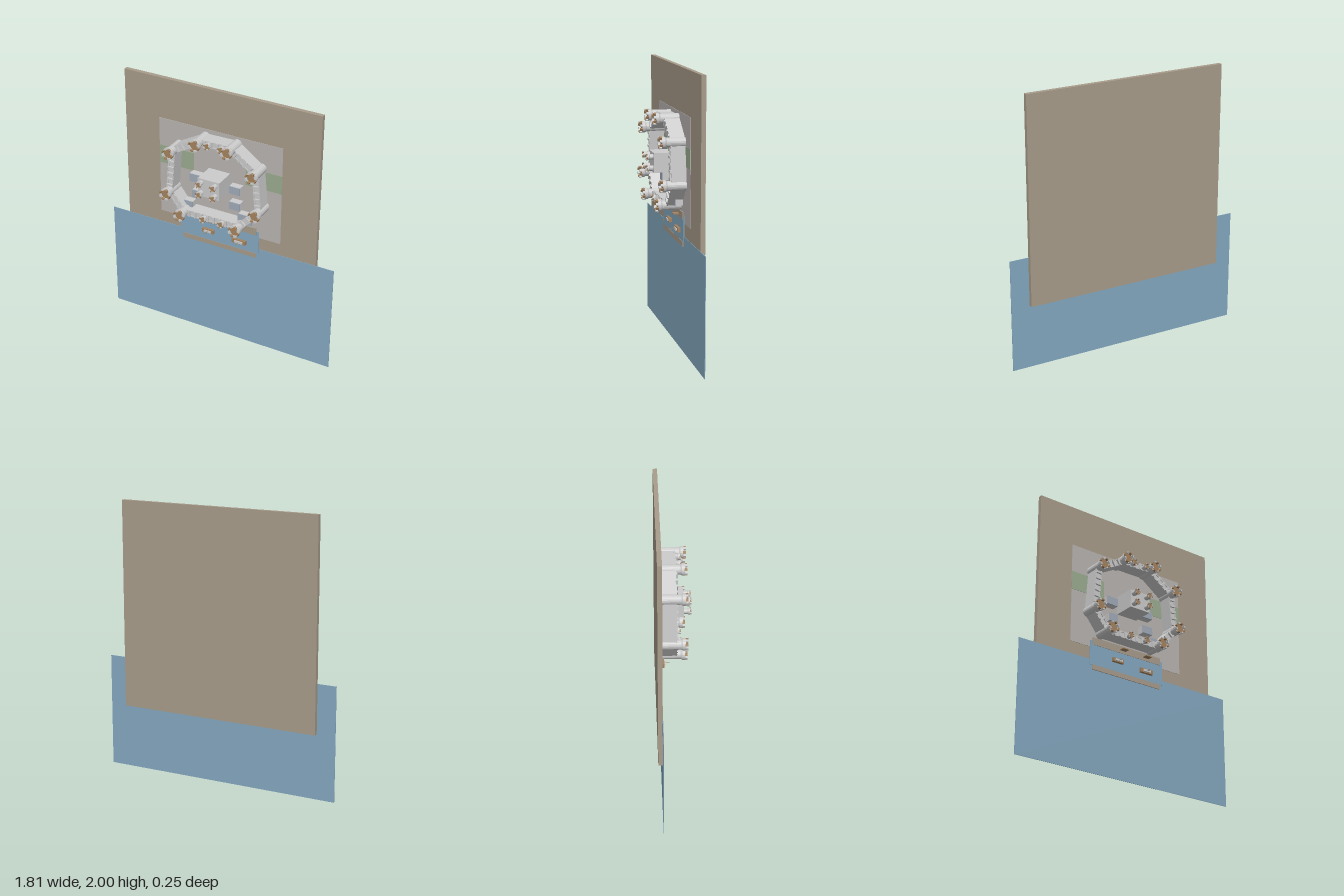
import * as THREE from 'three';

const mat = (color, extra = {}) => new THREE.MeshStandardMaterial({ color, ...extra });
const stone = mat(0xcccccc);
const earth = mat(0xa89c8b);
const water = mat(0x84a8c0);
const paving = mat(0xb8b4b1);
const grass = mat(0x9bab90);
const slate = mat(0xa0abb8);
const wood = mat(0xa5835f);
const GROUND = -0.095;

// Box given by its extents on each axis
function block(name, m, x0, x1, y0, y1, z0, z1) {
  const mesh = new THREE.Mesh(new THREE.BoxGeometry(x1 - x0, y1 - y0, z1 - z0), m);
  mesh.position.set((x0 + x1) / 2, (y0 + y1) / 2, (z0 + z1) / 2);
  mesh.name = name;
  return mesh;
}

// Round tower rising along +z: shaft, flared crown, wooden floor and merlons
function tower(name, x, y, r, base, top) {
  const g = new THREE.Group();
  g.name = name;
  g.position.set(x, y, 0);
  const crown = r * 1.22;
  const h = r * 1.1;
  const floor = top - h * 0.5;
  const profile = [
    [r, base], [r, top - h * 1.25], [crown, top - h * 0.95],
    [crown, floor + h * 0.1], [crown * 0.78, floor + h * 0.1], [crown * 0.78, floor - h * 0.1],
  ].map(([a, b]) => new THREE.Vector2(a, b));
  const shaft = new THREE.Mesh(new THREE.LatheGeometry(profile, 20).rotateX(Math.PI / 2),
    mat(0xcccccc, { flatShading: true }));
  shaft.name = 'towerShaft';
  const deck = new THREE.Mesh(new THREE.CircleGeometry(crown * 0.8, 20), wood);
  deck.position.z = floor;
  deck.name = 'towerDeck';
  g.add(shaft, deck);
  for (let i = 0; i < 8; i++) {
    const a = (i / 8) * Math.PI * 2 + Math.PI / 8;
    const merlon = new THREE.Mesh(new THREE.BoxGeometry(crown * 0.24, crown * 0.42, h * 0.5), i % 2 ? wood : stone);
    merlon.position.set(Math.cos(a) * crown * 0.88, Math.sin(a) * crown * 0.88, top - h * 0.25);
    merlon.rotation.z = a;
    merlon.name = 'towerMerlon';
    g.add(merlon);
  }
  return g;
}

// Curtain wall between two points with cross-bars along the walk
function wall(a, b) {
  const g = new THREE.Group();
  g.name = 'curtainWall';
  const dx = b[0] - a[0], dy = b[1] - a[1];
  const len = Math.hypot(dx, dy);
  g.position.set((a[0] + b[0]) / 2, (a[1] + b[1]) / 2, 0);
  g.rotation.z = Math.atan2(dy, dx);
  g.add(block('wallBody', stone, -len / 2, len / 2, -0.023, 0.023, GROUND, 0.008));
  for (const s of [-1, 1]) {
    const y = s * 0.021;
    g.add(block('wallParapet', stone, -len / 2, len / 2, y - 0.004, y + 0.004, 0.005, 0.014));
  }
  const n = Math.max(3, Math.round(len / 0.05));
  for (let i = 1; i < n; i++) {
    const x = -len / 2 + (len * i) / n;
    g.add(block('wallMerlon', stone, x - 0.008, x + 0.008, -0.024, 0.024, 0.008, 0.022));
  }
  return g;
}

// Small moored boat with deck house and mast
function boat(x, y, w, d) {
  const g = new THREE.Group();
  g.name = 'boat';
  g.position.set(x, y, 0);
  g.add(block('boatHull', wood, -w / 2, w / 2, -d / 2, d / 2, -0.088, -0.068));
  g.add(block('boatCabin', stone, -w * 0.3, w * 0.3, -d * 0.27, d * 0.27, -0.07, -0.06));
  const mast = new THREE.Mesh(new THREE.CylinderGeometry(0.002, 0.002, 0.05, 8).rotateX(Math.PI / 2), wood);
  mast.position.z = -0.054;
  mast.name = 'boatMast';
  g.add(mast);
  return g;
}

export function createModel() {
  const model = new THREE.Group();
  model.name = 'castleSite';

  // Land, water and courtyard layers
  model.add(block('land', earth, -0.765, 0.765, 0.475, 2, -0.127, GROUND));
  model.add(block('sea', water, -0.905, 0.905, 0, 0.835, GROUND - 0.001, GROUND + 0.003));
  model.add(block('courtyard', paving, -0.487, 0.487, 0.93, 1.69, GROUND, GROUND + 0.003));
  for (const s of [-1, 1]) {
    const x = s * 0.347;
    model.add(block('lawn', grass, x - 0.14, x + 0.14, 1.335, 1.475, GROUND, GROUND + 0.005));
  }

  // Harbour basin, quays, gates and boats
  model.add(block('harbourWater', water, -0.32, 0.32, 0.795, 0.98, GROUND, -0.088));
  model.add(block('outerQuay', earth, -0.3, 0.3, 0.76, 0.797, GROUND, -0.086));
  model.add(block('innerQuay', earth, -0.3, 0.3, 0.95, 1.005, GROUND, -0.085));
  for (const x of [-0.037, 0.17]) {
    model.add(block('landingPost', wood, x - 0.026, x + 0.026, 0.971, 0.977, -0.09, -0.045));
  }
  model.add(boat(-0.085, 0.878, 0.095, 0.028), boat(0.167, 0.863, 0.108, 0.032));

  // Ring of towers and walls
  const ring = [
    [-0.11, 1.635], [0.14, 1.64], [0.333, 1.502], [0.36, 1.206],
    [0.206, 1.042], [-0.238, 1.042], [-0.35, 1.185], [-0.322, 1.518],
  ];
  ring.forEach((p, i) => {
    model.add(tower('tower', p[0], p[1], 0.035, GROUND, 0.09));
    model.add(wall(p, ring[(i + 1) % ring.length]));
  });

  // Gate turrets flanking the two entrances
  for (const [x, y] of [[-0.028, 1.637], [0.08, 1.637], [-0.063, 1.042], [0.08, 1.042]]) {
    model.add(tower('gateTurret', x, y, 0.02, GROUND, 0.055));
  }

  // Keep with four corner turrets
  model.add(block('keep', stone, -0.085, 0.085, 1.25, 1.39, GROUND, 0.07));
  for (const x of [-0.058, 0.054]) {
    for (const y of [1.28, 1.36]) model.add(tower('keepTurret', x, y, 0.019, 0.06, 0.122));
  }

  // Courtyard houses: centre, width, depth
  const houses = [
    [-0.167, 1.31, 0.09, 0.06], [0.148, 1.295, 0.085, 0.058], [-0.157, 1.183, 0.07, 0.06],
    [0.148, 1.17, 0.085, 0.058], [0.232, 1.085, 0.11, 0.07], [-0.233, 1.082, 0.085, 0.055],
  ];
  for (const [x, y, w, d] of houses) {
    model.add(block('house', stone, x - w / 2, x + w / 2, y - d / 2, y + d / 2, GROUND, -0.04));
    model.add(block('houseRoof', slate, x - w / 2, x + w / 2, y - d / 2, y + d / 2, -0.04, -0.034));
  }
  return model;
}
